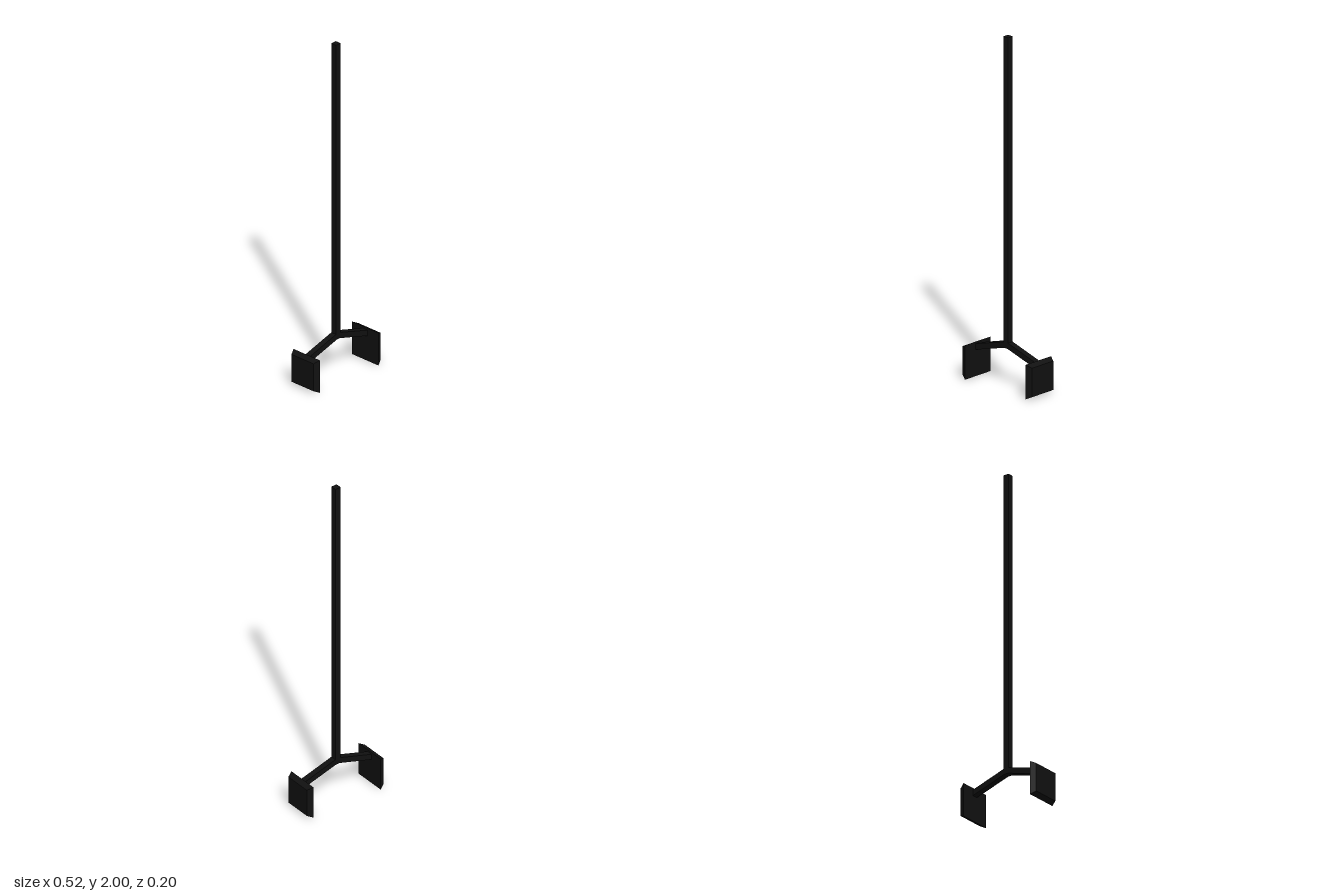
import * as THREE from 'three';

export function createModel() {
  const model = new THREE.Group();
  const material = new THREE.MeshStandardMaterial({ color: 0x111111, flatShading: true });
  const thick = 0.036;

  const add = (name, geometry, parent = model) => {
    const mesh = new THREE.Mesh(geometry, material);
    mesh.name = name;
    parent.add(mesh);
    return mesh;
  };

  // Square upright pole, resting on the fork
  const poleBase = 0.24;
  add('pole', new THREE.BoxGeometry(thick, 2 - poleBase, thick)).position.y = (2 + poleBase) / 2;

  // Bent fork: two sloping arms in one square-section bar
  const fork = new THREE.Shape([
    [-0.235, 0.15], [-0.012, 0.216], [0.012, 0.216], [0.235, 0.15],
    [0.235, 0.184], [0.018, 0.249], [-0.018, 0.249], [-0.235, 0.184],
  ].map(([x, y]) => new THREE.Vector2(x, y)));
  const forkGeometry = new THREE.ExtrudeGeometry(fork, { depth: thick, bevelEnabled: false });
  forkGeometry.translate(0, 0, -thick / 2);
  add('forkArms', forkGeometry);

  // Square end plates, tapering towards their outer faces
  for (const side of [1, -1]) {
    const plate = new THREE.CylinderGeometry(0.083 * Math.SQRT2, 0.0985 * Math.SQRT2, 0.032, 4);
    plate.rotateY(Math.PI / 4);
    plate.rotateZ(-side * Math.PI / 2);
    const name = side > 0 ? 'leftPlate' : 'rightPlate';
    add(name, plate).position.set(side * 0.244, 0.0985, 0);
  }
  return model;
}
